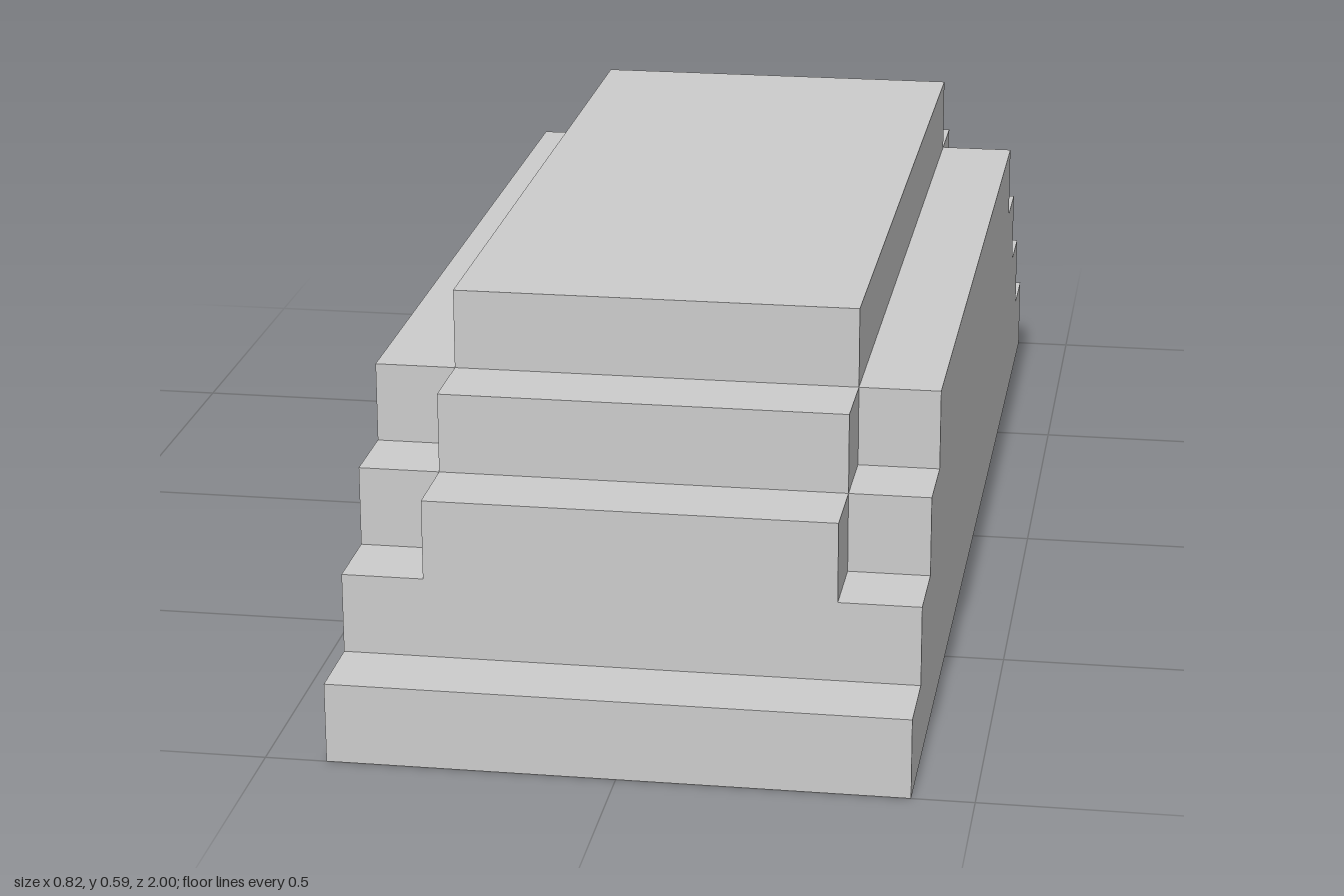
import * as THREE from 'three';

const U = 2 / 17; // one step: height, depth and side margin

// Extrudes a front/back symmetric stepped profile across the width.
// half: [z, y] corners of the front half in step units, bottom to top.
function steppedBlock(name, half, width, material) {
  const mirrored = half.map(([z, y]) => [-z, y]).reverse();
  const points = [...half, ...mirrored].map(([z, y]) => new THREE.Vector2(z * U, y * U));
  const geometry = new THREE.ExtrudeGeometry(new THREE.Shape(points), {
    depth: width * U,
    bevelEnabled: false,
  });
  geometry.translate(0, 0, (-width * U) / 2);
  geometry.rotateY(-Math.PI / 2);
  const mesh = new THREE.Mesh(geometry, material);
  mesh.name = name;
  return mesh;
}

// Corners of a staircase; each tread is one unit further in than the last.
function stairs(startZ, bottomY, treads) {
  const corners = [[startZ, bottomY]];
  treads.forEach((y, i) => {
    corners.push([startZ - i, y]);
    if (i < treads.length - 1) corners.push([startZ - i - 1, y]);
  });
  return corners;
}

export function createModel() {
  const group = new THREE.Group();
  group.name = 'steppedPlatform';
  const material = new THREE.MeshStandardMaterial({ color: 0xcccccc, flatShading: true });

  // Full-width body with four steps at each end
  group.add(steppedBlock('steppedBase', stairs(8.5, 0, [1, 2, 3, 4]), 7, material));

  // Narrower core, one step higher than the body
  group.add(steppedBlock('raisedCore', stairs(7.5, 2, [3, 4, 5]), 5, material));

  return group;
}
